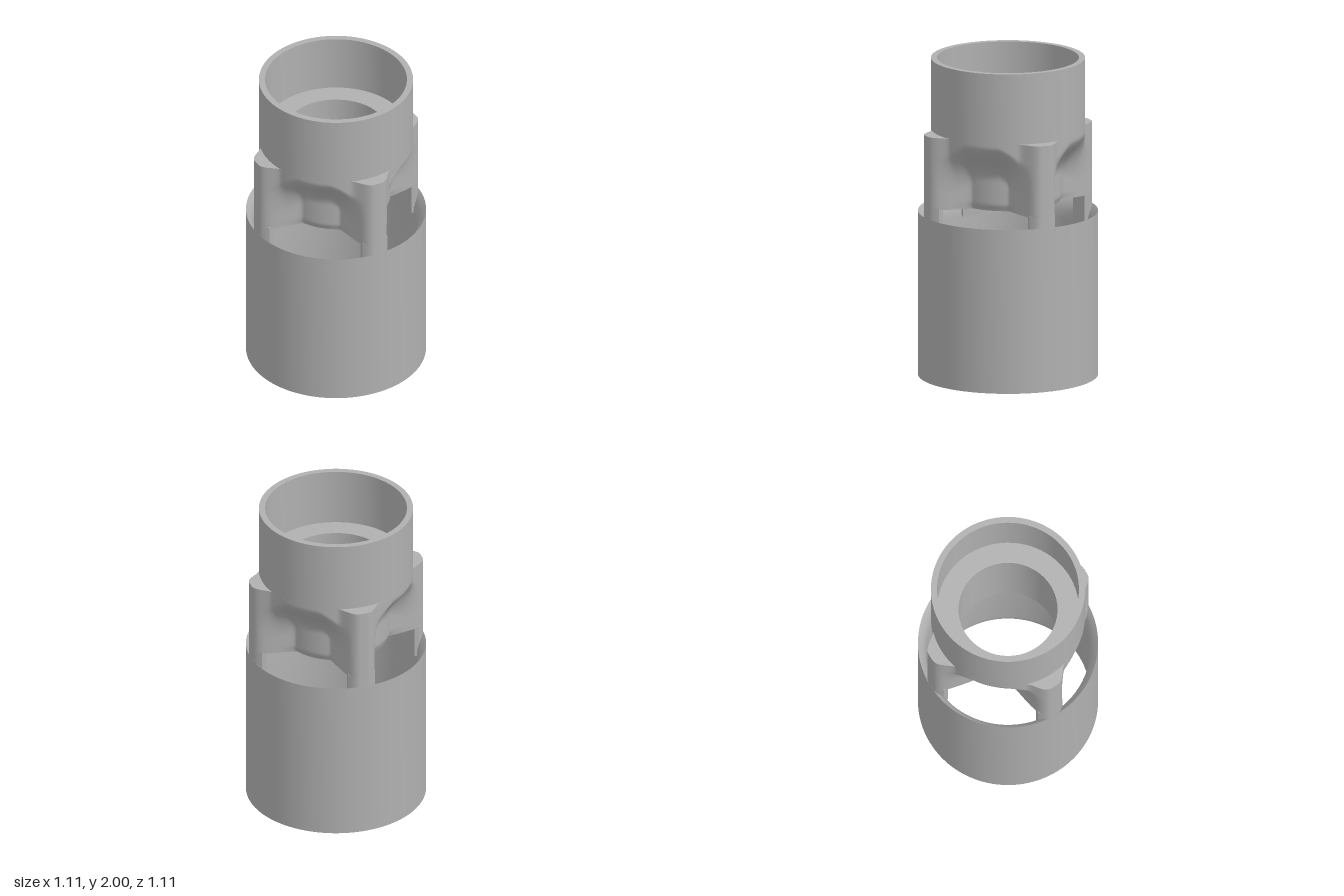
import * as THREE from 'three';
import { toCreasedNormals } from 'three/addons/utils/BufferGeometryUtils.js';
import { ParametricGeometry } from 'three/addons/geometries/ParametricGeometry.js';

const smooth = THREE.MathUtils.smoothstep;
const lerp = THREE.MathUtils.lerp;
const QUARTER = Math.PI / 2;
const BODY_BOTTOM = 1.1, BODY_TOP = 1.555, BORE = 0.305;

// Angle from the nearest of the four posts
const fromPost = (a) => Math.abs(a - Math.round(a / QUARTER) * QUARTER);

// Outer radius of the unscooped body: a tube with four rounded posts
const ribRadius = (s) => 0.475 + 0.08 * (1 - smooth(s, 0.05, 0.3));

// Outer radius of the body with a scoop between each pair of posts
function bodyRadius(a, y) {
  const s = fromPost(a);
  const inner = lerp(ribRadius(s), 0.335, smooth(s, 0.13, 0.44));
  const corner = 1 - smooth(s, 0.15, 0.6);
  const t = smooth(1.53 - 0.1 * corner - y, 0, 0.24);
  const lip = 0.015 * smooth(s, 0.2, 0.45) * (1 - smooth(y, BODY_BOTTOM, BODY_BOTTOM + 0.04));
  return lerp(ribRadius(s), inner, Math.pow(t, 0.75)) - lip;
}

export function createModel() {
  const group = new THREE.Group();
  const grey = new THREE.MeshStandardMaterial({ color: 0xb0b0b0 });
  grey.name = 'grey';

  const add = (name, geometry, crease = 0.6) => {
    const mesh = new THREE.Mesh(toCreasedNormals(geometry, crease), grey);
    mesh.name = name;
    group.add(mesh);
    return mesh;
  };
  const lathe = (points) =>
    new THREE.LatheGeometry(points.map(([r, y]) => new THREE.Vector2(r, y)), 128);

  // Lower sleeve with flared inner rims
  add('sleeve', lathe([
    [0.555, 0], [0.555, 1.035], [0.535, 1.012], [0.517, 0.98], [0.507, 0.945], [0.503, 0.9],
    [0.503, 0.135], [0.507, 0.09], [0.517, 0.055], [0.535, 0.023], [0.555, 0],
  ]));

  // Upper cup, its floor ring and the bore below
  add('upperTube', lathe([
    [0.475, 1.54], [0.475, 2], [0.437, 2], [0.437, 1.64], [BORE, 1.64], [BORE, BODY_BOTTOM],
  ]));

  // Scooped middle body, with bottom and shoulder faces
  const rows = 32;
  add('scoopedBody', new ParametricGeometry((u, v, target) => {
    const a = u * Math.PI * 2;
    const j = Math.round(v * (rows + 2)) - 1;
    const y = lerp(BODY_BOTTOM, BODY_TOP, THREE.MathUtils.clamp(j / rows, 0, 1));
    let r = bodyRadius(a, y);
    if (j < 0) r = BORE;
    if (j > rows) r = 0.45;
    target.set(r * Math.sin(a), y, r * Math.cos(a));
  }, 256, rows + 2), 0.9);

  // Four legs joining the body to the sleeve
  const section = new THREE.Shape();
  section.moveTo(-0.085, 0.48);
  section.lineTo(0.085, 0.48);
  for (let i = 0; i <= 16; i++) {
    const a = lerp(0.17, -0.17, i / 16);
    const r = ribRadius(Math.abs(a)) - 0.001;
    section.lineTo(r * Math.sin(a), r * Math.cos(a));
  }
  section.closePath();
  const legGeometry = new THREE.ExtrudeGeometry(section, { depth: 0.21, bevelEnabled: false });
  legGeometry.rotateX(QUARTER).translate(0, BODY_BOTTOM + 0.01, 0);
  for (let i = 0; i < 4; i++) {
    add('leg' + (i + 1), legGeometry).rotation.y = i * QUARTER;
  }

  return group;
}
